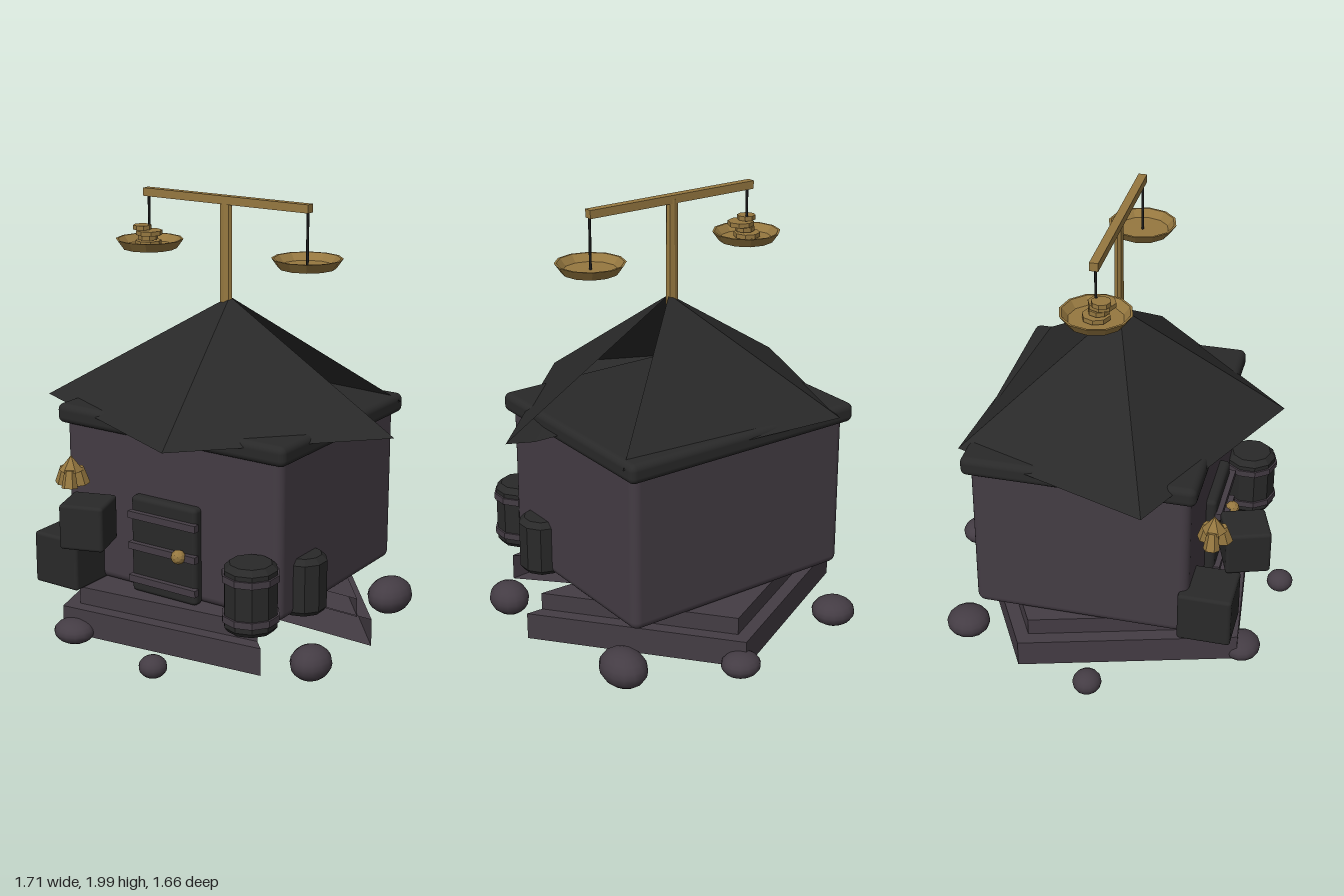
import * as THREE from 'three';
import { RoundedBoxGeometry } from 'three/addons/geometries/RoundedBoxGeometry.js';

const mat = (name, color, extra = {}) => {
  const m = new THREE.MeshStandardMaterial({ color, ...extra });
  m.name = name;
  return m;
};

// Prism or cone around the y axis, open between the last and first corner.
// rings: [scale of the outline, y] from top to bottom.
function openShell(corners, rings) {
  const pos = [];
  const at = (c, [s, y]) => [c[0] * s, y, c[1] * s];
  for (let r = 0; r < rings.length - 1; r++) {
    for (let i = 0; i < corners.length - 1; i++) {
      const u0 = at(corners[i], rings[r]), u1 = at(corners[i + 1], rings[r]);
      const l0 = at(corners[i], rings[r + 1]), l1 = at(corners[i + 1], rings[r + 1]);
      if (rings[r + 1][0] > 0) pos.push(...u0, ...l1, ...l0);
      if (rings[r][0] > 0) pos.push(...u0, ...u1, ...l1);
    }
  }
  const g = new THREE.BufferGeometry();
  g.setAttribute('position', new THREE.Float32BufferAttribute(pos, 3));
  g.computeVertexNormals();
  return g;
}

const lathe = (points, sides) =>
  new THREE.LatheGeometry(points.map(([x, y]) => new THREE.Vector2(x, y)), sides);

export function createModel() {
  const group = new THREE.Group();
  const side = THREE.DoubleSide;
  const stone = mat('stone', 0x443c44);
  const stoneFlat = mat('stone faceted', 0x443c44, { flatShading: true, side });
  const dark = mat('dark wood', 0x292929);
  const darkFlat = mat('dark roof', 0x292929, { flatShading: true, side });
  const gold = mat('brass', 0x967840, { flatShading: true, side });
  const cordMat = mat('cord', 0x1c1c1c);

  const add = (name, geo, material, x = 0, y = 0, z = 0, parent = group) => {
    const m = new THREE.Mesh(geo, material);
    m.name = name;
    m.position.set(x, y, z);
    parent.add(m);
    return m;
  };
  const rbox = (w, h, d, r) => new RoundedBoxGeometry(w, h, d, 3, r);

  // Stepped base with an open wedge at the front right
  const base = [[0.77, 0.02], [0.13, -0.755], [-0.735, -0.29], [-0.46, 0.66], [0.53, 0.55]].reverse();
  add('lowerStep', openShell(base, [[0, 0.19], [1, 0.19], [1, 0.065], [0, 0.065]]), stoneFlat);
  add('upperStep', openShell(base, [[0, 0.27], [0.9, 0.27], [0.9, 0.185], [0, 0.185]]), stoneFlat);

  // Rocks around the base: x, y, z, radii
  [
    [0.155, 0.09, -0.75, 0.09, 0.055, 0.085],
    [-0.505, 0.075, -0.6, 0.1, 0.065, 0.1],
    [0.59, 0.095, -0.48, 0.1, 0.085, 0.125],
    [0.665, 0.09, 0.36, 0.09, 0.078, 0.1],
    [0.12, 0.085, 0.765, 0.062, 0.05, 0.062],
    [-0.39, 0.09, 0.67, 0.095, 0.055, 0.085],
    [-0.79, 0.085, 0.045, 0.068, 0.052, 0.065],
  ].forEach(([x, y, z, a, b, c]) => {
    add('rock', new THREE.SphereGeometry(1, 14, 10), stone, x, y, z).scale.set(a, b, c);
  });

  // House body, eave slab and roof
  add('walls', rbox(1.15, 0.75, 0.975, 0.04), stone, -0.015, 0.645, -0.0375);
  add('eaveSlab', rbox(1.21, 0.09, 1.04, 0.03), dark, -0.015, 1.025, -0.04);
  const roof = [[0.85, 0.01], [0.155, 0.73], [-0.82, 0.29], [-0.5, -0.6], [0.6, -0.51]];
  add('roof', openShell(roof, [[0, 1.55], [1, 1.04], [0.83, 1.015], [0, 1.015]]), darkFlat);

  // Door
  const door = new THREE.Group();
  door.name = 'door';
  group.add(door);
  add('doorPanel', rbox(0.35, 0.45, 0.06, 0.02), dark, -0.02, 0.495, 0.465, door);
  for (const y of [0.34, 0.495, 0.64])
    add('doorBand', new THREE.BoxGeometry(0.36, 0.032, 0.03), stone, -0.012, y, 0.505, door);
  add('doorKnob', new THREE.IcosahedronGeometry(0.033, 1), gold, 0.085, 0.5, 0.525, door);

  // Stacked crates
  add('lowerCrate', rbox(0.24, 0.24, 0.24, 0.015), dark, -0.505, 0.39, 0.53);
  add('upperCrate', rbox(0.2, 0.205, 0.2, 0.015), dark, -0.31, 0.62, 0.65).rotation.y = 0.33;

  // Barrels
  const barrel = (name, x, z, r, h) => add(name,
    lathe([[0, 0], [r - 0.015, 0], [r, 0.02], [r, h - 0.025], [r - 0.025, h], [0, h]], 10), darkFlat, x, 0.27, z);
  barrel('bandedBarrel', 0.475, 0.545, 0.118, 0.3);
  barrel('sideBarrel', 0.545, 0.24, 0.108, 0.26);
  for (const y of [0.33, 0.51])
    add('barrelBand', new THREE.CylinderGeometry(0.127, 0.127, 0.03, 10), stoneFlat, 0.475, y, 0.545);

  // Bell cluster above the crates
  const bells = new THREE.Group();
  bells.name = 'bellCluster';
  bells.position.set(-0.49, 0.71, 0.54);
  group.add(bells);
  add('bellCap', new THREE.ConeGeometry(0.055, 0.07, 6), gold, 0, 0.12, 0, bells);
  for (let i = 0; i < 3; i++) {
    const a = i * Math.PI * 2 / 3 + 0.5;
    const bell = add('bell', new THREE.CylinderGeometry(0.024, 0.037, 0.08, 6), gold,
      Math.sin(a) * 0.042, 0.055, Math.cos(a) * 0.042, bells);
    bell.rotation.set(-Math.cos(a) * 0.2, 0, Math.sin(a) * 0.2);
  }

  // Balance scale on the roof
  const scale = new THREE.Group();
  scale.name = 'balanceScale';
  group.add(scale);
  add('pole', new THREE.CylinderGeometry(0.03, 0.033, 0.55, 8), gold, -0.018, 1.705, 0.003, scale).scale.z = 0.65;
  add('beam', new THREE.BoxGeometry(0.87, 0.037, 0.038), gold, -0.02, 1.98, 0.005, scale);
  for (const x of [-0.435, 0.405]) {
    add('cord', new THREE.CylinderGeometry(0.006, 0.006, 0.24, 6), cordMat, x, 1.85, 0.008, scale);
    add('pan', lathe([[0, 0], [0.125, 0], [0.155, 0.042], [0.145, 0.042], [0.118, 0.01], [0, 0.01]], 12),
      gold, x, 1.725, 0.008, scale);
  }

  // Coins in the right-hand pan: x, y, z, radius
  [
    [-0.44, 1.75, 0.01, 0.06], [-0.435, 1.776, 0.02, 0.045],
    [-0.42, 1.8, 0.03, 0.06], [-0.455, 1.822, 0.035, 0.042],
  ].forEach(([x, y, z, r]) =>
    add('coin', new THREE.CylinderGeometry(r, r, 0.02, 8), gold, x, y, z, scale));

  return group;
}
